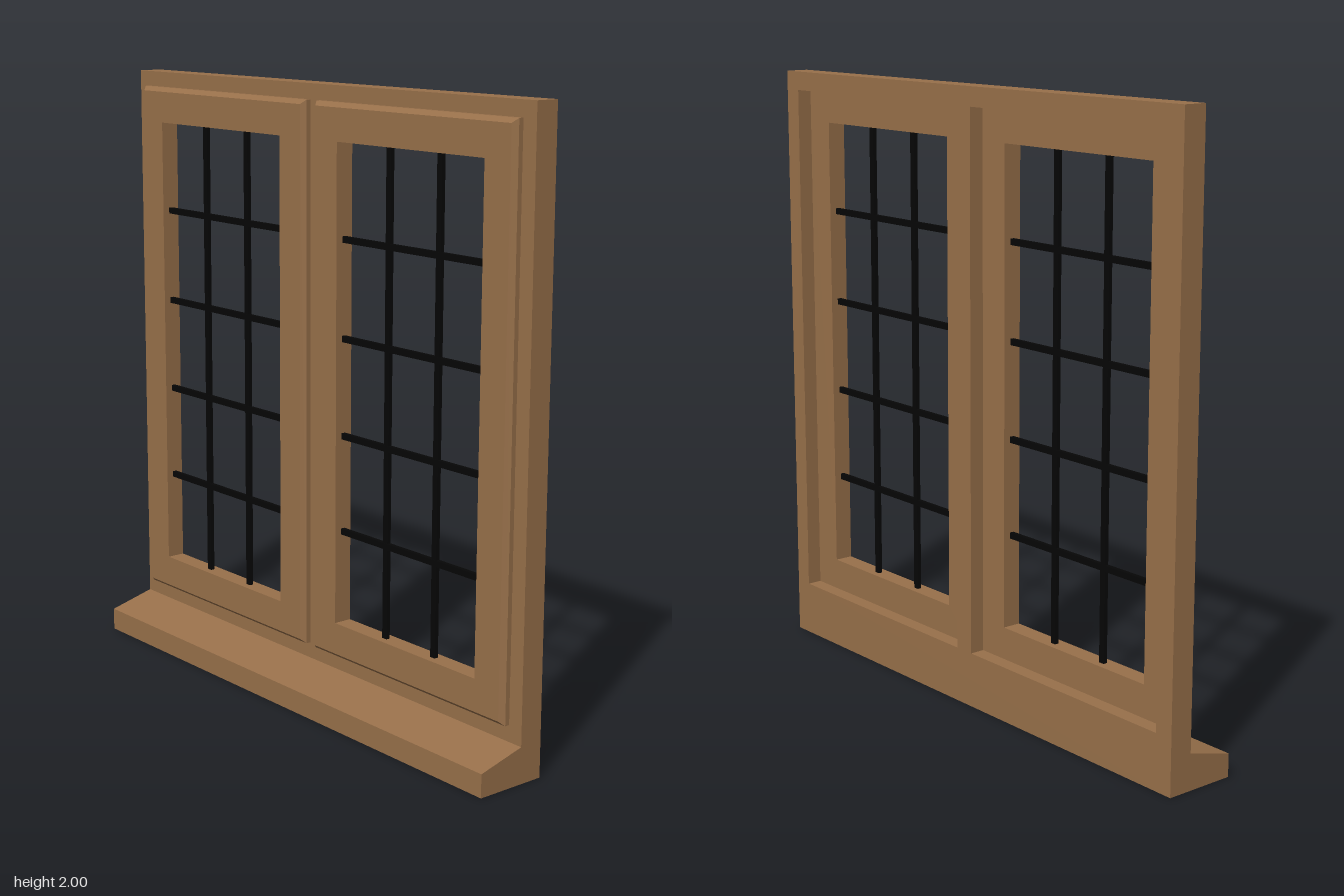
import * as THREE from 'three';

const wood = new THREE.MeshStandardMaterial({ color: 0x98704a });
wood.name = 'brown wood';
const iron = new THREE.MeshStandardMaterial({ color: 0x060606 });
iron.name = 'black glazing bar';

const CENTRE_X = 0.466, CENTRE_Y = 1.06;   // middle of the right-hand sash
const HALF_W = 0.442, HALF_H = 0.89;       // outer half size of a sash
const RAIL = 0.118;                        // width of the sash rails

function addMesh(parent, name, geometry, material, x = 0, y = 0, z = 0) {
  const mesh = new THREE.Mesh(geometry, material);
  mesh.name = name;
  mesh.position.set(x, y, z);
  parent.add(mesh);
  return mesh;
}

// Sweeps a closed profile of [inset, z] points around a rectangle with mitred corners.
function mitredFrame(halfW, halfH, profile) {
  const corners = [[1, -1], [1, 1], [-1, 1], [-1, -1]];
  const point = (c, p) => {
    const [sx, sy] = corners[c % 4];
    const [inset, z] = profile[p % profile.length];
    return [sx * (halfW - inset), sy * (halfH - inset), z];
  };
  const positions = [];
  for (let c = 0; c < 4; c++) {
    for (let p = 0; p < profile.length; p++) {
      const a = point(c, p), b = point(c + 1, p), d = point(c + 1, p + 1), e = point(c, p + 1);
      positions.push(...a, ...b, ...d, ...a, ...d, ...e);
    }
  }
  const geometry = new THREE.BufferGeometry();
  geometry.setAttribute('position', new THREE.Float32BufferAttribute(positions, 3));
  geometry.computeVertexNormals();
  return geometry;
}

function rectangle(target, x0, y0, x1, y1) {
  return target.moveTo(x0, y0).lineTo(x1, y0).lineTo(x1, y1).lineTo(x0, y1).closePath();
}

export function createModel() {
  const model = new THREE.Group();
  model.name = 'casementWindow';

  // Outer frame with two openings and a central mullion
  const outline = rectangle(new THREE.Shape(), -0.96, 0, 0.96, 2);
  for (const side of [-1, 1]) {
    const cx = side * CENTRE_X;
    outline.holes.push(rectangle(new THREE.Path(), cx - 0.43, 0.182, cx + 0.43, 1.938));
  }
  const frame = new THREE.ExtrudeGeometry(outline, { depth: 0.08, bevelEnabled: false });
  addMesh(model, 'outerFrame', frame, wood, 0, 0, -0.12);

  // Sloping sill, drawn in section and run along x
  const section = new THREE.Shape();
  section.moveTo(0.04, 0).lineTo(0.04, 0.117).lineTo(-0.12, 0.075).lineTo(-0.12, 0).closePath();
  const sill = new THREE.ExtrudeGeometry(section, { depth: 1.92, bevelEnabled: false });
  sill.rotateY(Math.PI / 2);
  addMesh(model, 'sill', sill, wood, -0.96, 0, 0);

  // Sash section: overlapping lip with chamfered front, set back into the frame
  const sashProfile = [
    [0, -0.04], [0, -0.024], [0.014, -0.008], [RAIL, -0.008],
    [RAIL, -0.07], [0.012, -0.07], [0.012, -0.04],
  ];
  const sashGeometry = mitredFrame(HALF_W, HALF_H, sashProfile);
  const uprightBar = new THREE.BoxGeometry(0.02, 2 * (HALF_H - RAIL), 0.014);
  const crossBar = new THREE.BoxGeometry(2 * (HALF_W - RAIL), 0.02, 0.014);

  for (const side of [-1, 1]) {
    const sash = new THREE.Group();
    sash.name = side > 0 ? 'leftSash' : 'rightSash';
    sash.position.set(side * CENTRE_X, CENTRE_Y, 0);
    addMesh(sash, 'sashFrame', sashGeometry, wood);
    // Glazing bars: two upright, four across
    for (const x of [-0.112, 0.112]) addMesh(sash, 'uprightBar', uprightBar, iron, x, 0, -0.04);
    for (let i = 0; i < 4; i++) {
      addMesh(sash, 'crossBar', crossBar, iron, 0, (i - 1.5) * 0.313, -0.039);
    }
    model.add(sash);
  }
  return model;
}
